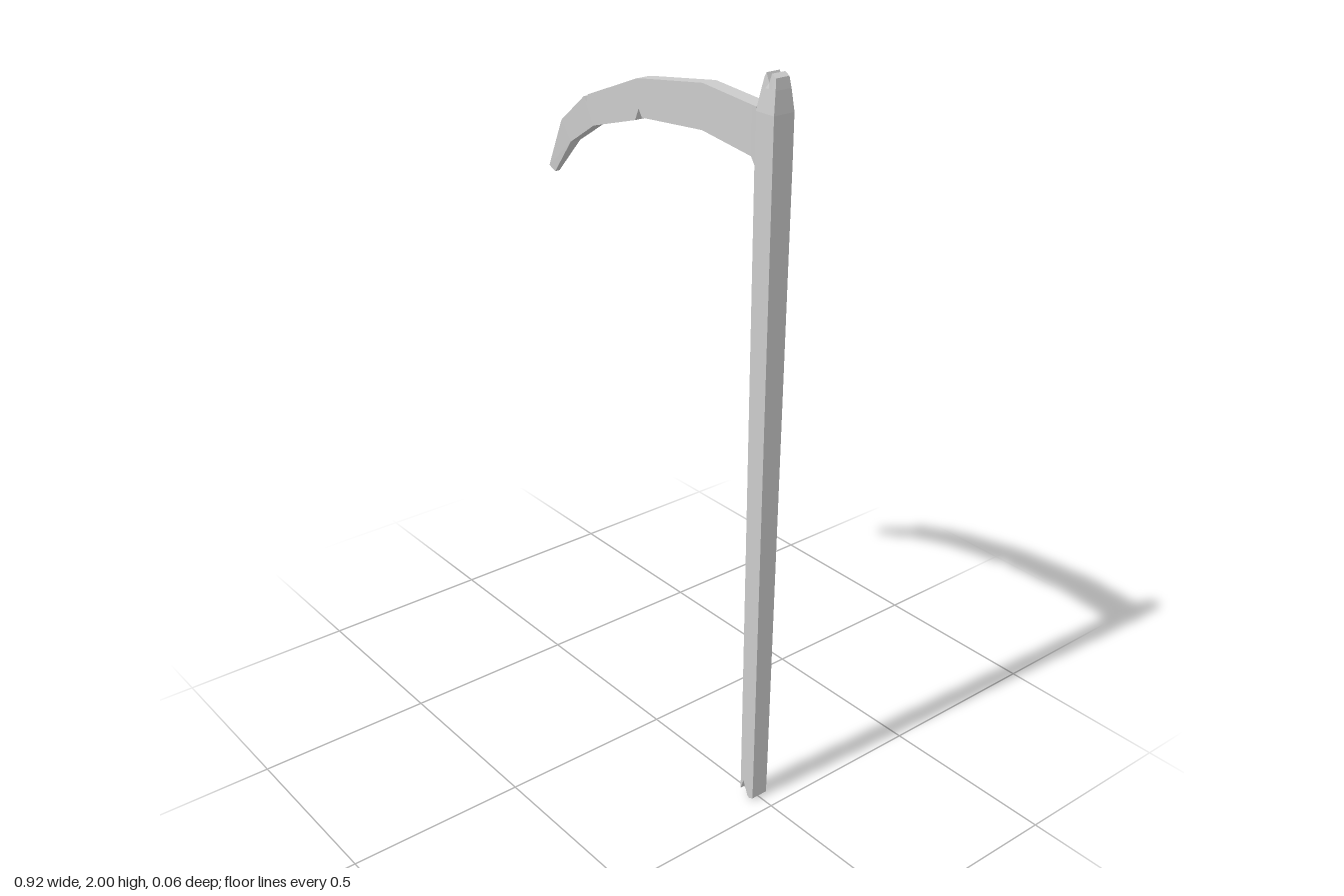
import * as THREE from 'three';

// Solid slab from rows of [x, y] points; each row has its own half thickness in z.
// Column direction x row direction must point to +z.
function slab(name, rows, material) {
  const m = rows.length, n = rows[0].pts.length, pos = [];
  const P = (i, j, s) => [...rows[i].pts[j], s * rows[i].z];
  const quad = (a, b, c, d) => pos.push(...a, ...b, ...c, ...a, ...c, ...d);

  // Front and back faces
  for (let i = 0; i < m - 1; i++) {
    for (let j = 0; j < n - 1; j++) {
      quad(P(i, j, 1), P(i, j + 1, 1), P(i + 1, j + 1, 1), P(i + 1, j, 1));
      quad(P(i + 1, j, -1), P(i + 1, j + 1, -1), P(i, j + 1, -1), P(i, j, -1));
    }
  }

  // Wall around the outline
  const rim = [];
  for (let j = 0; j < n - 1; j++) rim.push([0, j]);
  for (let i = 0; i < m - 1; i++) rim.push([i, n - 1]);
  for (let j = n - 1; j > 0; j--) rim.push([m - 1, j]);
  for (let i = m - 1; i > 0; i--) rim.push([i, 0]);
  rim.forEach((a, k) => {
    const b = rim[(k + 1) % rim.length];
    quad(P(...a, 1), P(...a, -1), P(...b, -1), P(...b, 1));
  });

  const geometry = new THREE.BufferGeometry();
  geometry.setAttribute('position', new THREE.Float32BufferAttribute(pos, 3));
  geometry.computeVertexNormals();
  const mesh = new THREE.Mesh(geometry, material);
  mesh.name = name;
  return mesh;
}

export function createModel() {
  const group = new THREE.Group();
  group.name = 'scythe';
  const material = new THREE.MeshStandardMaterial({ color: 0xcccccc, flatShading: true });

  // Straight square pole: notched butt, slight flare upwards, tapered and split head
  const level = (x0, x1, y) => [0, 0.25, 0.5, 0.75, 1].map((t) => [x0 + (x1 - x0) * t, y]);
  group.add(slab('pole', [
    { z: 0.025, pts: [[0.402, 0.012], [0.413, 0.045], [0.43, 0.005], [0.438, 0], [0.451, 0.006]] },
    { z: 0.025, pts: level(0.402, 0.452, 0.07) },
    { z: 0.031, pts: level(0.397, 0.458, 1.8) },
    { z: 0.031, pts: level(0.397, 0.458, 1.91) },
    { z: 0.024, pts: level(0.407, 0.453, 1.965) },
    { z: 0.02, pts: [[0.411, 1.99], [0.417, 2], [0.427, 1.978], [0.435, 2], [0.449, 1.992]] },
  ], material));

  // Curved blade: [top x, top y, bottom x, bottom y, half thickness], tip to pole
  const blade = [
    [-0.458, 1.576, -0.431, 1.565, 0.007],
    [-0.384, 1.719, -0.344, 1.668, 0.0155],
    [-0.278, 1.804, -0.238, 1.735, 0.018],
    [-0.267, 1.79, -0.225, 1.739, 0.018], // nick in the back
    [-0.261, 1.812, -0.215, 1.742, 0.018],
    [-0.075, 1.886, -0.061, 1.788, 0.0195],
    [-0.055, 1.894, -0.047, 1.82, 0.0195], // nick in the cutting edge
    [-0.04, 1.897, -0.034, 1.8, 0.0195],
    [0.198, 1.933, 0.198, 1.82, 0.021],
    [0.375, 1.918, 0.375, 1.798, 0.0225],
    [0.399, 1.92, 0.399, 1.78, 0.0305], // flare into the pole
  ];
  group.add(slab('blade', blade.map(([a, b, c, d, z]) => ({ z, pts: [[a, b], [c, d]] })), material));

  return group;
}
